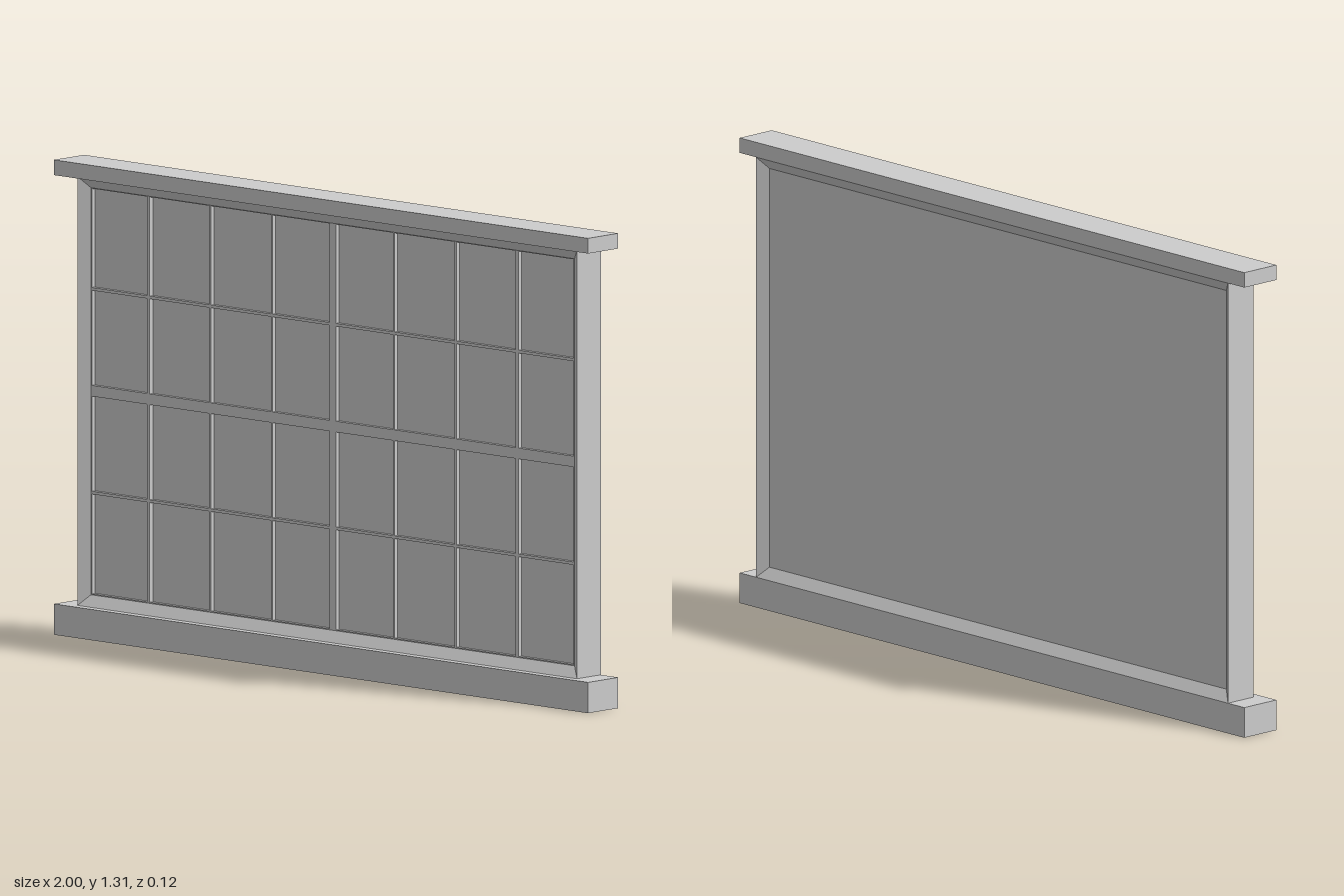
import * as THREE from 'three';

const material = new THREE.MeshStandardMaterial({ color: 0xcccccc, flatShading: true });

function add(group, name, geometry) {
  const mesh = new THREE.Mesh(geometry, material);
  mesh.name = name;
  group.add(mesh);
  return mesh;
}

function box(group, name, x0, x1, y0, y1, z0, z1) {
  add(group, name, new THREE.BoxGeometry(x1 - x0, y1 - y0, z1 - z0))
    .position.set((x0 + x1) / 2, (y0 + y1) / 2, (z0 + z1) / 2);
}

function rectangle(target, x0, x1, y0, y1) {
  target.moveTo(x0, y0).lineTo(x1, y0).lineTo(x1, y1).lineTo(x0, y1).closePath();
  return target;
}

// Mitred rectangular frame: a closed [inset, z] profile carried around four corners
function mitredFrame(halfWidth, bottom, top, profile) {
  const positions = [], index = [], n = profile.length;
  for (const [sx, atTop] of [[-1, 0], [1, 0], [1, 1], [-1, 1]]) {
    for (const [inset, z] of profile) {
      positions.push(sx * (halfWidth - inset), atTop ? top - inset : bottom + inset, z);
    }
  }
  for (let c = 0; c < 4; c++) {
    for (let p = 0; p < n; p++) {
      const a = c * n + p, b = ((c + 1) % 4) * n + p;
      const a2 = c * n + (p + 1) % n, b2 = ((c + 1) % 4) * n + (p + 1) % n;
      index.push(a, b, b2, a, b2, a2);
    }
  }
  const indexed = new THREE.BufferGeometry();
  indexed.setAttribute('position', new THREE.Float32BufferAttribute(positions, 3));
  indexed.setIndex(index);
  const geometry = indexed.toNonIndexed();
  geometry.computeVertexNormals();
  return geometry;
}

export function createModel() {
  const group = new THREE.Group();
  group.name = 'window';

  // Projecting sill and head
  box(group, 'sill', -1, 1, 0, 0.085, -0.06, 0.06);
  box(group, 'head', -1, 1, 1.268, 1.31, -0.06, 0.06);

  // Frame, bevelled towards the glass on both faces
  add(group, 'frame', mitredFrame(0.935, 0.085, 1.268,
    [[0, -0.06], [0, 0.035], [0.03, 0.013], [0.03, -0.038]]));

  // Glass backing slab
  box(group, 'glass', -0.905, 0.905, 0.115, 1.238, -0.038, 0.001);

  // Glazing bars: one sheet pierced by 8 x 4 panes, with wider middle bars
  const columns = [[0.013, 0.225], [0.231, 0.456], [0.463, 0.685], [0.696, 0.902]];
  const rows = [[0.118, 0.393], [0.401, 0.663], [0.693, 0.955], [0.963, 1.236]];
  const grid = rectangle(new THREE.Shape(), -0.905, 0.905, 0.115, 1.238);
  for (const [x0, x1] of columns) {
    for (const [y0, y1] of rows) {
      grid.holes.push(rectangle(new THREE.Path(), x0, x1, y0, y1));
      grid.holes.push(rectangle(new THREE.Path(), -x1, -x0, y0, y1));
    }
  }
  add(group, 'glazingBars', new THREE.ExtrudeGeometry(grid, { depth: 0.012, bevelEnabled: false }))
    .position.z = 0.001;

  return group;
}
